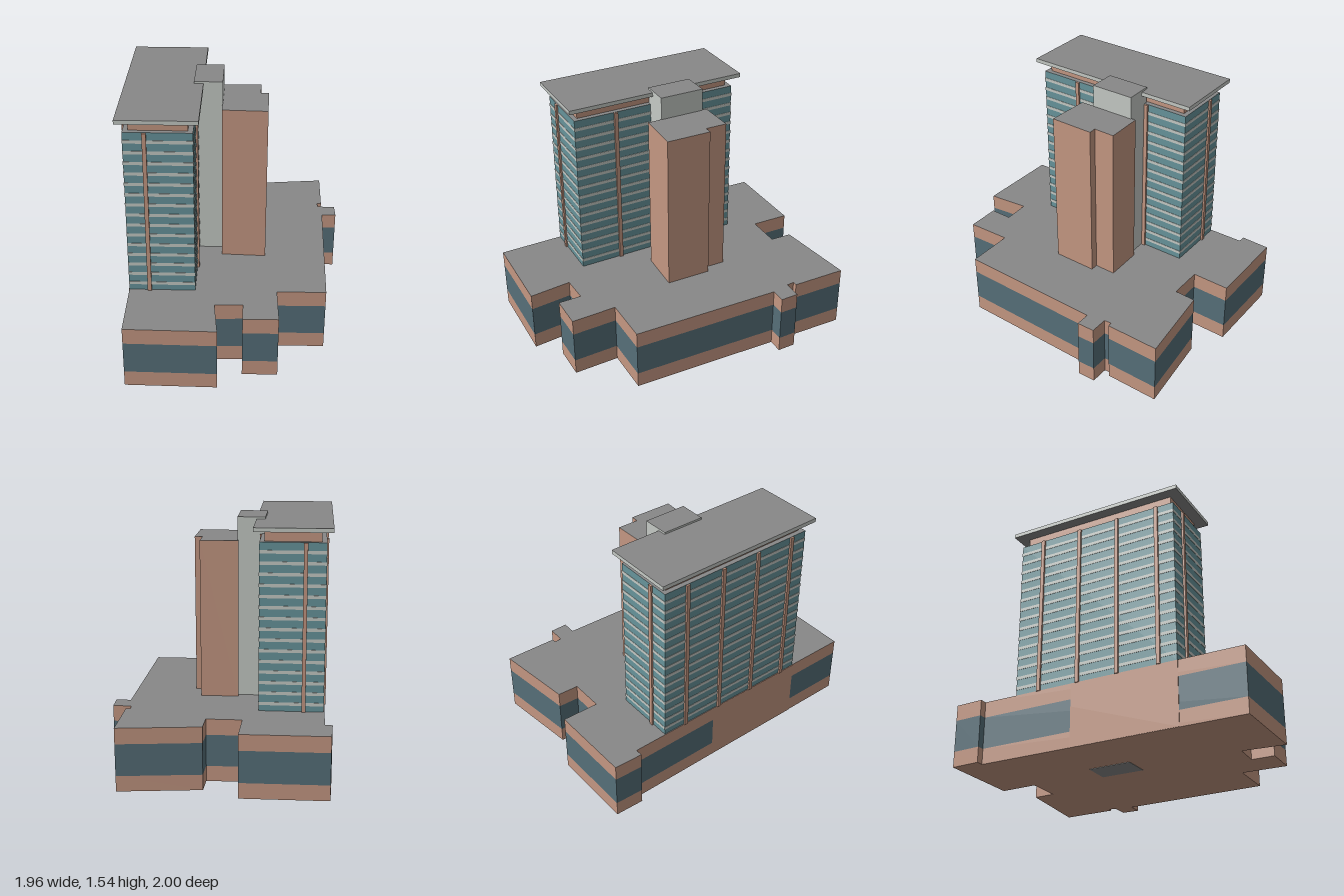
import * as THREE from 'three';

const paint = (name, color) => {
  const m = new THREE.MeshStandardMaterial({ color });
  m.name = name;
  return m;
};

export function createModel() {
  const brick = paint('brick', 0xc49782);
  const podiumGlass = paint('podium glass', 0x566f79);
  const towerGlass = paint('tower glass', 0x67949b);
  const concrete = paint('pale concrete', 0xc5cac5);
  const roof = paint('roof grey', 0x888888);

  const model = new THREE.Group();
  model.name = 'hotelTower';

  // Upright prism over a plan of [x, z] corners
  function prism(name, plan, y0, y1, cap, side, parent = model) {
    const shape = new THREE.Shape(plan.map(([x, z]) => new THREE.Vector2(x, -z)));
    const geo = new THREE.ExtrudeGeometry(shape, { depth: y1 - y0, bevelEnabled: false });
    geo.rotateX(-Math.PI / 2).translate(0, y0, 0);
    const mesh = new THREE.Mesh(geo, [cap, side]);
    mesh.name = name;
    parent.add(mesh);
    return mesh;
  }

  // Podium: brick plinth, window band, brick parapet with grey roof
  const podium = [
    [-0.11, -1], [0.36, -0.745], [0.24, -0.54], [0.43, -0.435], [0.5, -0.55], [0.975, -0.355],
    [0.805, -0.06], [0.78, -0.073], [0.76, -0.03], [0.858, 0.025], [0.805, 0.125], [0.725, 0.08],
    [0.25, 0.885], [-0.01, 0.745], [-0.14, 0.995], [-0.325, 0.895], [-0.255, 0.77],
    [-0.405, 0.695], [-0.51, 0.937], [-0.98, 0.67], [-0.165, -0.82], [-0.205, -0.842],
  ];
  prism('podiumPlinth', podium, 0.002, 0.1, brick, brick);
  prism('podiumWindows', podium, 0.1, 0.3, podiumGlass, podiumGlass);
  prism('podiumParapet', podium, 0.3, 0.4, roof, brick);

  // Tower frame: l runs along the long side, w across it
  const L = 1.074, W = 0.396;
  const at = (l, w) => [-0.785 + 0.4841 * l + 0.8751 * w, 0.315 - 0.8751 * l + 0.4841 * w];
  const rect = (l0, l1, w0, w1) => [at(l0, w0), at(l1, w0), at(l1, w1), at(l0, w1)];
  const around = (d) => rect(-d, L + d, -d, W + d);

  const tower = new THREE.Group();
  tower.name = 'tower';
  model.add(tower);
  prism('towerBaseWall', around(0.004), 0.003, 0.398, brick, brick, tower);
  prism('towerGlazing', around(0), 0.398, 1.44, roof, towerGlass, tower);

  // Pale floor bands
  for (let i = 0; i < 15; i++) {
    const y = 0.447 + i * 0.0668;
    prism('floorBand', around(0.002), y - 0.01, y + 0.01, concrete, concrete, tower);
  }

  // Brick fins on all four faces
  const fin = (l, w) =>
    prism('fin', rect(l - 0.012, l + 0.012, w - 0.012, w + 0.012), 0.398, 1.438, brick, brick, tower);
  for (const t of [0.106, 0.356, 0.602, 0.85]) fin(t * L, 0);
  for (const t of [0.25, 0.495, 0.74]) fin(t * L, W);
  for (const l of [0, L]) fin(l, 0.31 * W);

  // Recessed top storey and overhanging roof slab
  prism('topStorey', around(-0.03), 1.44, 1.505, brick, brick, tower);
  prism('roofSlab', rect(-0.04, L + 0.043, -0.038, W + 0.034), 1.505, 1.53, roof, concrete, tower);

  // Lift core, running down to the ground
  prism('liftCore', [[-0.215, 0.055], [-0.065, 0.14], [0.072, -0.105], [-0.08, -0.185]],
    0, 1.542, roof, concrete);

  // Brick stair shaft with a notched corner
  prism('stairShaft', [[0.08, -0.135], [0.29, -0.025], [0.222, 0.092], [0.265, 0.115],
    [0.125, 0.358], [-0.11, 0.215]], 0.39, 1.4, roof, brick);

  return model;
}
